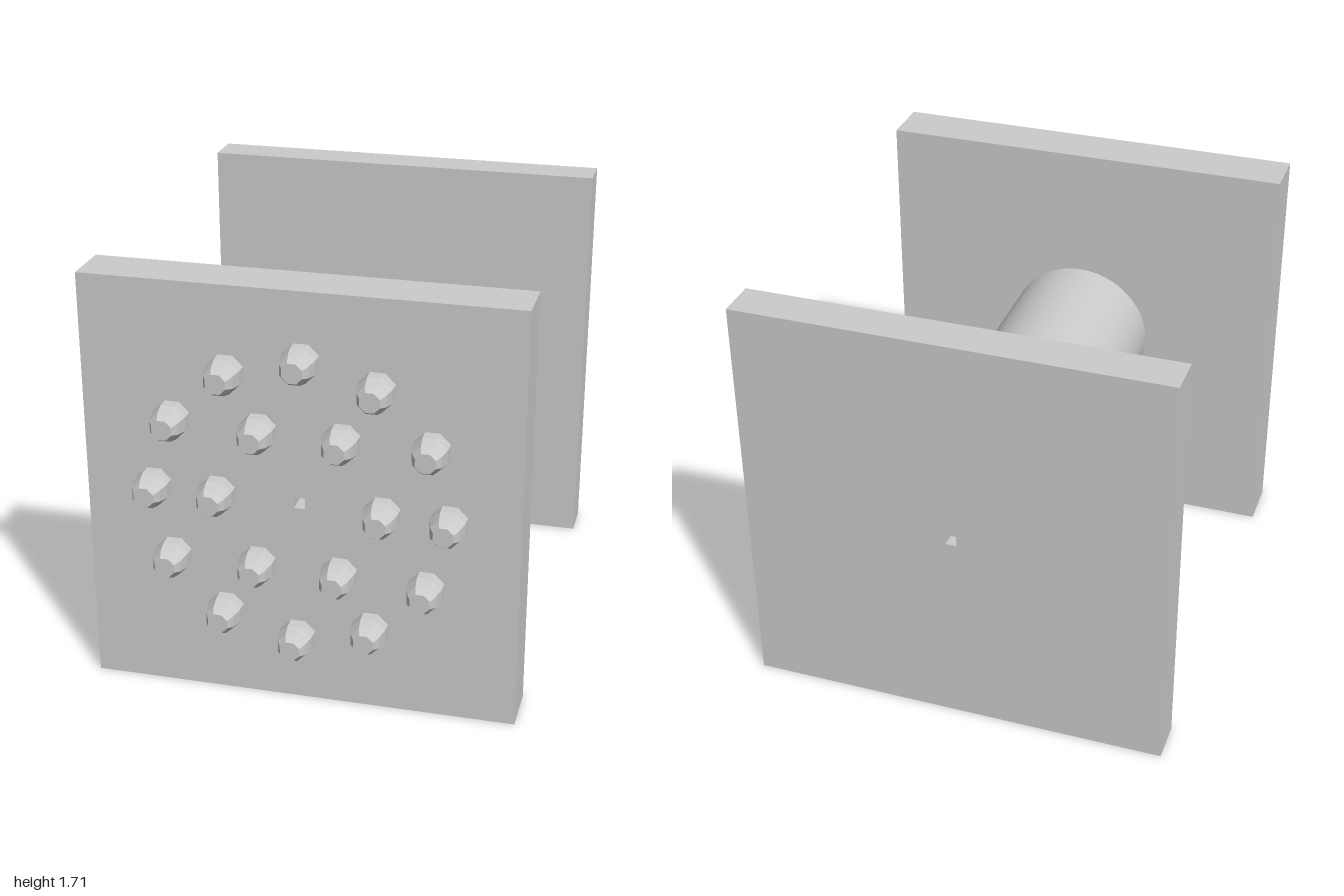
import * as THREE from 'three';
import { toCreasedNormals } from 'three/addons/utils/BufferGeometryUtils.js';

const CENTER_Y = 0.86;
const HALF = 0.855;

export function createModel() {
  const model = new THREE.Group();
  const smooth = new THREE.MeshStandardMaterial({ color: 0xcccccc });
  const faceted = new THREE.MeshStandardMaterial({ color: 0xcccccc, flatShading: true });

  const add = (name, geometry, material, x = 0, y = 0, z = 0) => {
    const mesh = new THREE.Mesh(geometry, material);
    mesh.name = name;
    mesh.position.set(x, CENTER_Y + y, z);
    model.add(mesh);
  };

  // Square plate with a tiny square pinhole in the middle
  const plate = (depth) => {
    const square = (h) => [[-h, -h], [h, -h], [h, h], [-h, h]].map(([x, y]) => new THREE.Vector2(x, y));
    const shape = new THREE.Shape(square(HALF));
    shape.holes.push(new THREE.Path(square(0.022).reverse()));
    return new THREE.ExtrudeGeometry(shape, { depth, bevelEnabled: false });
  };

  // Solid of revolution along z, from [radius, z] pairs in order of rising z
  const turned = (profile, sides) => {
    const points = profile.map(([r, z]) => new THREE.Vector2(r, z));
    return new THREE.LatheGeometry(points, sides).rotateX(Math.PI / 2);
  };

  // Plates
  add('frontPlate', plate(0.21), faceted, 0, 0, 0.665);
  add('backPlate', plate(0.165), faceted, 0, 0, -0.995);

  // Two stems whose tapered ends meet
  const frontStem = [[0, -0.2], [0.133, -0.2], [0.308, -0.07], [0.308, 0.67], [0, 0.67]];
  const backStem = [[0, -0.835], [0.308, -0.835], [0.308, -0.275], [0.2, -0.203], [0, -0.203]];
  add('frontStem', toCreasedNormals(turned(frontStem, 48), 0.5), smooth);
  add('backStem', toCreasedNormals(turned(backStem, 48), 0.5), smooth);

  // Low-poly rounded studs in two rings on the front plate
  const stud = turned([[0.075, 0], [0.073, 0.045], [0.06, 0.095], [0.042, 0.125], [0, 0.125]], 8);
  stud.rotateZ(Math.PI / 8);
  for (const [count, radius] of [[6, 0.325], [12, 0.582]]) {
    for (let i = 0; i < count; i++) {
      const a = (i / count) * Math.PI * 2 - 0.022;
      add('stud', stud, faceted, radius * Math.cos(a), radius * Math.sin(a), 0.875);
    }
  }

  return model;
}
